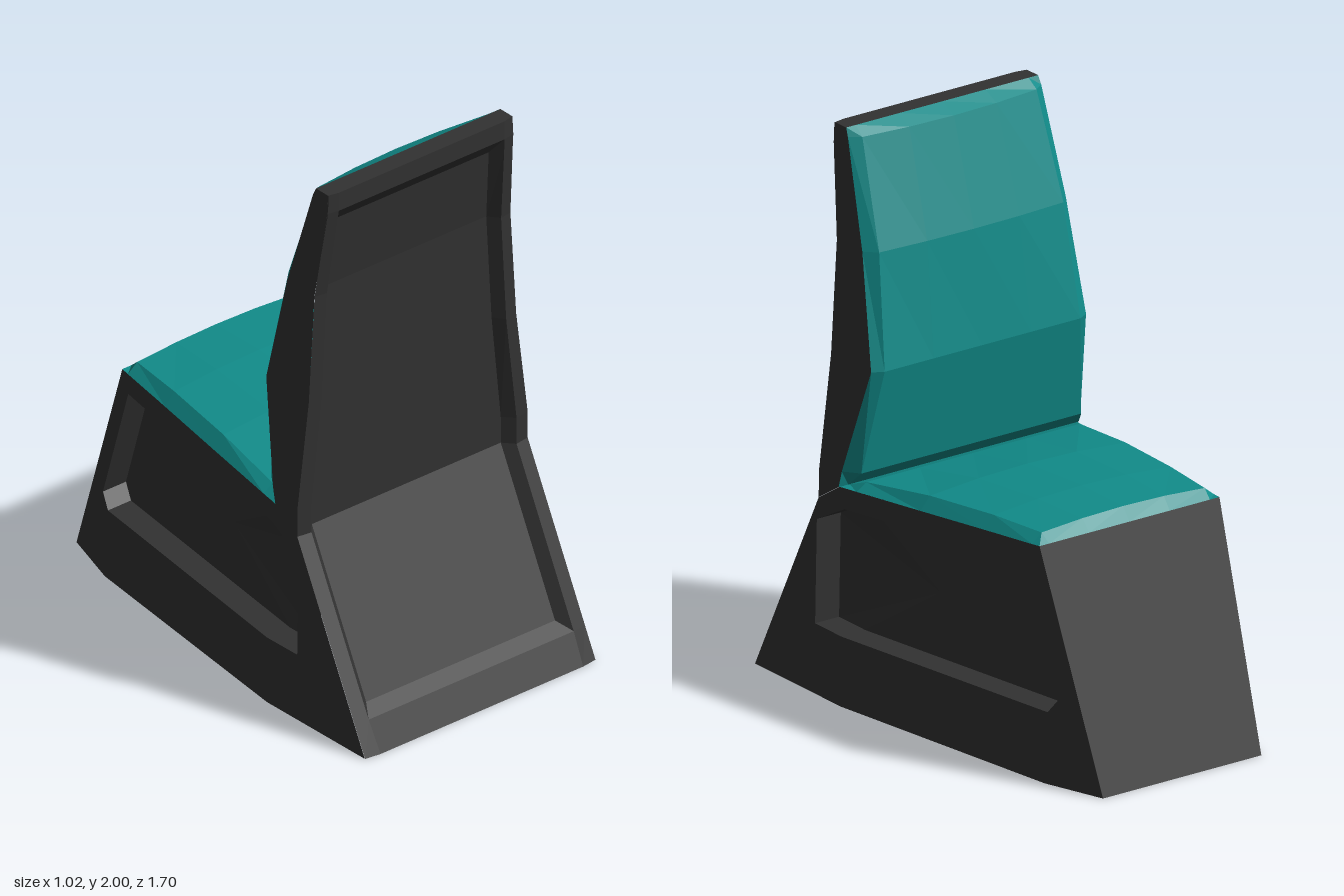
import * as THREE from 'three';

const dark = new THREE.MeshStandardMaterial({ color: 0x323232 });
dark.name = 'charcoal shell';
const teal = new THREE.MeshStandardMaterial({ color: 0x118c8a });
teal.name = 'teal upholstery';

// Faceted surface through rows of [x, y, z] points
function grid(name, rows, material, flip = false) {
  const pos = [];
  for (let i = 0; i + 1 < rows.length; i++) {
    for (let j = 0; j + 1 < rows[i].length; j++) {
      const a = rows[i][j], b = rows[i][j + 1], c = rows[i + 1][j + 1], d = rows[i + 1][j];
      const tris = flip ? [a, c, b, a, d, c] : [a, b, c, a, c, d];
      for (const p of tris) pos.push(...p);
    }
  }
  const geo = new THREE.BufferGeometry();
  geo.setAttribute('position', new THREE.Float32BufferAttribute(pos, 3));
  geo.computeVertexNormals();
  const mesh = new THREE.Mesh(geo, material);
  mesh.name = name;
  return mesh;
}

const mirrorX = rows => rows.map(r => r.map(([x, y, z]) => [-x, y, z]));

// Cushion row: bevelled edge at [x, y, z], padded middle at py, pz with a crown
function padRow(x, y, z, py, pz, cy = 0, cz = 0) {
  const xi = x - 0.04;
  const mid = [-1, -0.5, 0, 0.5, 1].map(t => {
    const k = 1 - t * t;
    return [xi * t, py + cy * k, pz + cz * k];
  });
  return [[-x, y, z], ...mid, [x, y, z]];
}

export function createModel() {
  const chair = new THREE.Group();
  chair.name = 'chair';

  // Base sides: outer outline, recess rim, recess floor, floor centre
  const outline = [[0.33, 0, -0.85], [0.4, 0, -0.62], [0.512, 0, 0.35], [0.5, 0, 0.84],
    [0.5, 0.7, 0.49], [0.495, 0.77, 0.38], [0.375, 0.82, -0.56]];
  const rim = [[0.375, 0.3, -0.66], [0.387, 0.25, -0.62], [0.512, 0.25, 0.35], [0.507, 0.25, 0.5],
    [0.5, 0.62, 0.5], [0.497, 0.7, 0.35], [0.383, 0.745, -0.52]];
  const floor = rim.map(([x, y, z]) => [x - 0.1, y, z]);
  const centre = rim.map(() => [0.362, 0.48, 0]);
  const baseSide = [outline, rim, floor, centre].map(r => [...r, r[0]]);
  chair.add(grid('leftBaseSide', baseSide, dark, true));
  chair.add(grid('rightBaseSide', mirrorX(baseSide), dark));

  // Backrest sides: [half width, front y, front z, back y, back z]
  const backSide = [[0.5, 0.77, 0.38, 0.7, 0.49], [0.498, 0.83, 0.365, 0.8, 0.49],
    [0.448, 1.2, 0.27, 1.2, 0.49], [0.424, 1.6, 0.35, 1.6, 0.49],
    [0.403, 1.97, 0.457, 1.93, 0.535], [0.4, 2, 0.47, 2, 0.535]]
    .map(([x, fy, fz, by, bz]) => [[x, fy, fz], [x, by, bz]]);
  chair.add(grid('leftBackrestSide', backSide, dark, true));
  chair.add(grid('rightBackrestSide', mirrorX(backSide), dark));

  // Back shell with sunken panel: [y, z, half width, rim x, panel x, panel depth]
  const backRows = [
    [0, 0.85, 0.5, 0.44, 0.44, 0],
    [0.11, 0.795, 0.5, 0.445, 0.445, 0],
    [0.14, 0.78, 0.5, 0.445, 0.41, 0.04],
    [0.7, 0.5, 0.5, 0.445, 0.41, 0.04],
    [0.8, 0.5, 0.5, 0.445, 0.41, 0.04],
    [1.2, 0.5, 0.45, 0.4, 0.37, 0.04],
    [1.6, 0.5, 0.425, 0.378, 0.347, 0.04],
    [1.87, 0.533, 0.407, 0.363, 0.33, 0.04],
    [1.93, 0.54, 0.404, 0.36, 0.36, 0],
    [2, 0.54, 0.4, 0.36, 0.36, 0],
  ].map(([y, z, x, r, p, d]) => [[-x, y, z - 0.008], [-r, y, z], [-p, y, z - d],
    [p, y, z - d], [r, y, z], [x, y, z - 0.008]]);
  chair.add(grid('backShell', backRows, dark));

  // Flat faces spanning the full width
  const across = pts => pts.map(([x, y, z]) => [[-x, y, z], [x, y, z]]);
  chair.add(grid('frontAndUnderside', across([[0.375, 0.82, -0.56], [0.33, 0, -0.85],
    [0.4, 0, -0.62], [0.512, 0, 0.35], [0.5, 0, 0.84], [0.44, 0, 0.85]]), dark));
  chair.add(grid('backrestTop', across([[0.36, 2, 0.54], [0.4, 2, 0.532], [0.4, 2, 0.47]]), dark));

  // Seat cushion, from the backrest forward
  chair.add(grid('seatCushion', [
    padRow(0.495, 0.77, 0.38, 0.77, 0.38),
    padRow(0.485, 0.774, 0.3, 0.8, 0.3),
    padRow(0.447, 0.79, 0, 0.835, 0, 0.02),
    padRow(0.408, 0.806, -0.3, 0.85, -0.3, 0.02),
    padRow(0.38, 0.818, -0.525, 0.85, -0.525, 0.015),
    padRow(0.375, 0.82, -0.56, 0.82, -0.56),
  ], teal));

  // Backrest cushion, from the seat upward
  chair.add(grid('backrestCushion', [
    padRow(0.5, 0.77, 0.38, 0.77, 0.38),
    padRow(0.498, 0.83, 0.365, 0.83, 0.31),
    padRow(0.448, 1.2, 0.27, 1.2, 0.248),
    padRow(0.424, 1.6, 0.35, 1.6, 0.31, 0, -0.015),
    padRow(0.403, 1.97, 0.457, 1.97, 0.43, 0, -0.025),
    padRow(0.4, 2, 0.47, 2, 0.47),
  ], teal, true));

  return chair;
}
